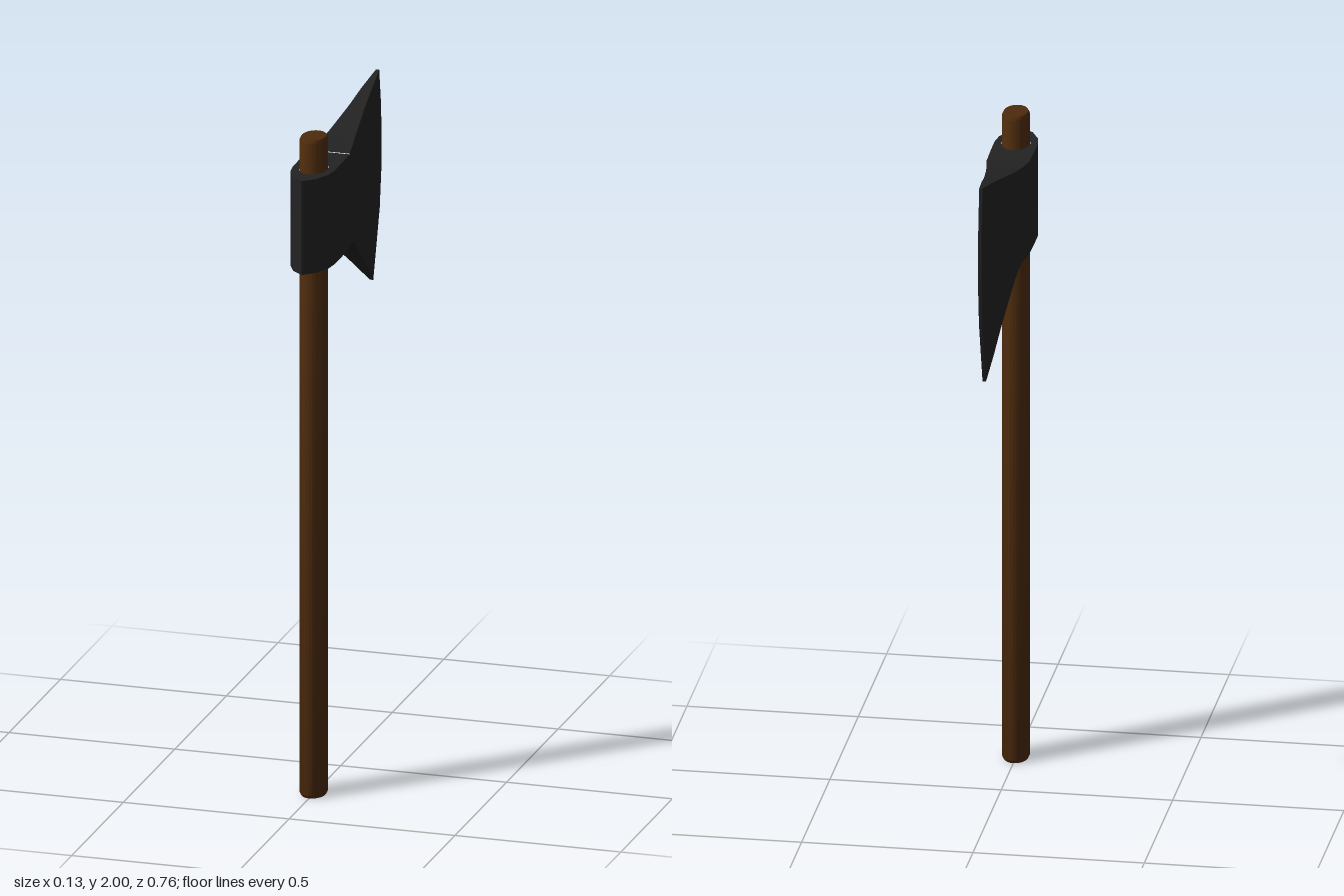
import * as THREE from 'three';
import { toCreasedNormals } from 'three/addons/utils/BufferGeometryUtils.js';

const HAFT_Z = 0.26;
const EYE_BOTTOM = 1.615, EYE_TOP = 1.9;

// Oval wooden haft with softened ends
function makeHaft(material) {
  const profile = [[0, 0], [0.88, 0], [1, 0.01], [1, 1.99], [0.88, 2], [0, 2]]
    .map(([r, y]) => new THREE.Vector2(r, y));
  const geometry = new THREE.LatheGeometry(profile, 24);
  geometry.scale(0.04, 1, 0.054);
  geometry.translate(0, 0, HAFT_Z);
  const haft = new THREE.Mesh(toCreasedNormals(geometry, 0.6), material);
  haft.name = 'haft';
  return haft;
}

// Pointed poll with an oval eye around the haft
function makeEye(material) {
  const side = [[0.061, 0.11], [0.063, 0.2], [0.063, 0.262], [0.057, 0.305], [0.034, 0.352]];
  const outline = [...side, [0, 0.382], ...side.slice().reverse().map(([x, z]) => [-x, z])];
  const shape = new THREE.Shape(outline.map(([x, z]) => new THREE.Vector2(x, -z)));
  const hole = [];
  for (let i = 0; i < 12; i++) {
    const a = (i / 12) * Math.PI * 2;
    hole.push(new THREE.Vector2(0.042 * Math.cos(a), -HAFT_Z - 0.057 * Math.sin(a)));
  }
  shape.holes.push(new THREE.Path(hole));
  const geometry = new THREE.ExtrudeGeometry(shape, { depth: EYE_TOP - EYE_BOTTOM, bevelEnabled: false });
  geometry.rotateX(-Math.PI / 2);
  geometry.translate(0, EYE_BOTTOM, 0);
  const eye = new THREE.Mesh(toCreasedNormals(geometry, 0.6), material);
  eye.name = 'eye';
  return eye;
}

// Flaring blade: rings lofted from the eye to the curved cutting edge
function makeBlade(material) {
  // [half width, top z, top y, bottom z, bottom y]
  const stations = [
    [0.061, 0.11, 1.902, 0.11, 1.615],
    [0.053, 0.06, 1.907, 0.06, 1.615],
    [0.047, 0.02, 1.913, 0.02, 1.605],
    [0.041, -0.02, 1.92, -0.02, 1.58],
    [0.024, -0.16, 1.954, -0.15, 1.49],
    [0.016, -0.25, 1.977, -0.225, 1.436],
  ];
  // Cutting edge from heel to toe, as [z, y]
  const edge = [[-0.3, 1.38], [-0.332, 1.48], [-0.363, 1.58], [-0.378, 1.69],
    [-0.382, 1.79], [-0.374, 1.9], [-0.358, 2]];
  const rows = edge.length;
  const rings = stations.map(([w, zt, yt, zb, yb]) => edge.map((_, j) => {
    const t = j / (rows - 1);
    return [w, THREE.MathUtils.lerp(yb, yt, t), THREE.MathUtils.lerp(zb, zt, t)];
  }));
  rings.push(edge.map(([z, y]) => [0.005, y, z]));

  const positions = [], index = [];
  for (const ring of rings) {
    for (const [w, y, z] of ring) positions.push(w, y, z);
    for (const [w, y, z] of ring.slice().reverse()) positions.push(-w, y, z);
  }
  const quad = (a, b, c, d) => index.push(a, b, c, a, c, d);
  const n = rows * 2;
  for (let i = 0; i < rings.length - 1; i++) {
    for (let j = 0; j < n; j++) {
      const k = (j + 1) % n;
      quad(i * n + j, (i + 1) * n + j, (i + 1) * n + k, i * n + k);
    }
  }
  // Narrow face along the cutting edge
  const last = (rings.length - 1) * n;
  for (let j = 0; j < rows - 1; j++) {
    quad(last + j, last + n - 1 - j, last + n - 2 - j, last + j + 1);
  }
  const geometry = new THREE.BufferGeometry();
  geometry.setAttribute('position', new THREE.Float32BufferAttribute(positions, 3));
  geometry.setIndex(index);
  const blade = new THREE.Mesh(toCreasedNormals(geometry, 0.6), material);
  blade.name = 'blade';
  return blade;
}

export function createModel() {
  const wood = new THREE.MeshStandardMaterial({ color: 0x4d2b0d });
  wood.name = 'brown wood';
  const iron = new THREE.MeshStandardMaterial({ color: 0x222222 });
  iron.name = 'dark iron';

  const head = new THREE.Group();
  head.name = 'axeHead';
  head.add(makeEye(iron), makeBlade(iron));

  const model = new THREE.Group();
  model.name = 'axe';
  model.add(makeHaft(wood), head);
  return model;
}
